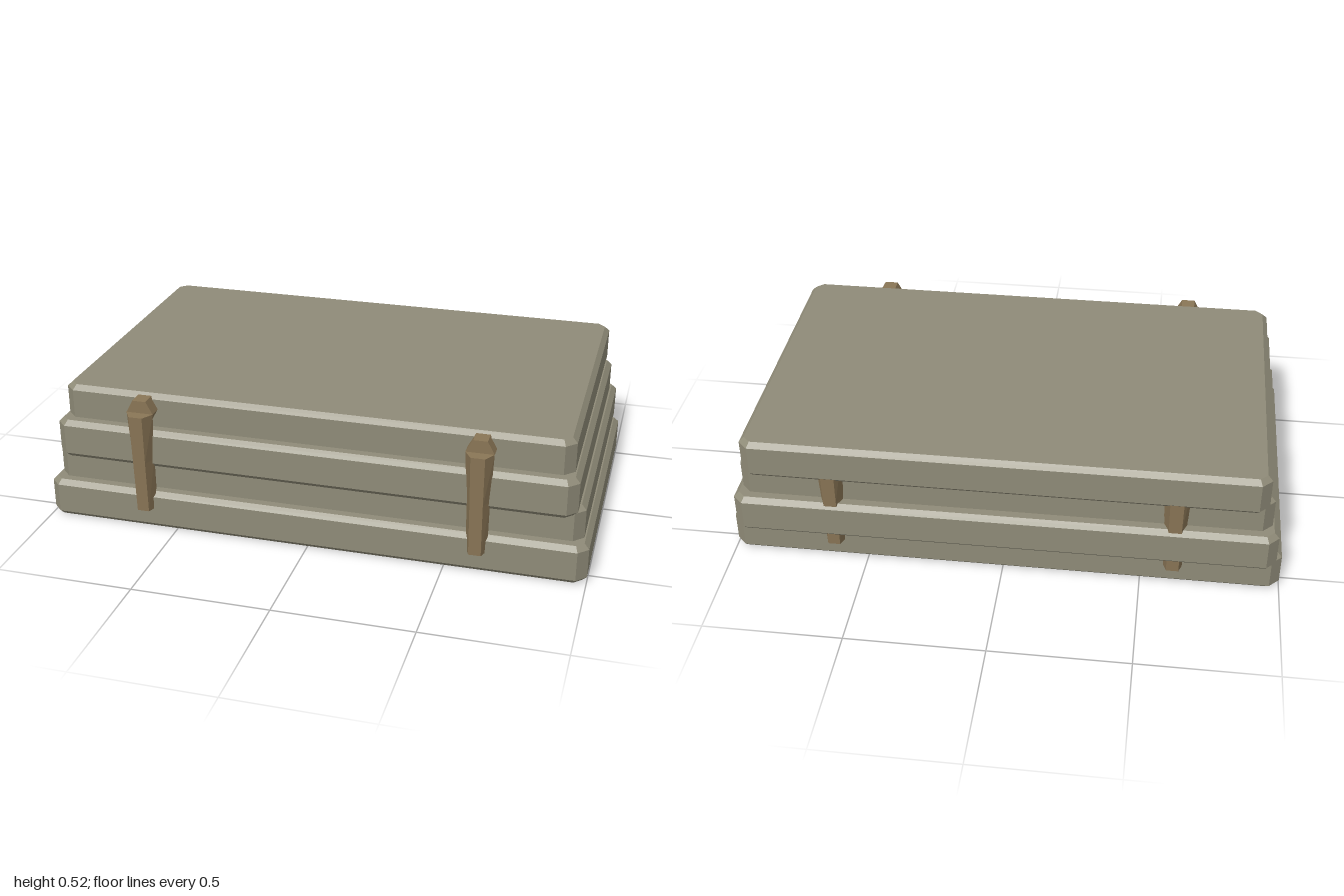
import * as THREE from 'three';

const slabMat = new THREE.MeshStandardMaterial({ color: 0x8f8b78, flatShading: true });
const strapMat = new THREE.MeshStandardMaterial({ color: 0x8a7656, flatShading: true });

// Closed solid through rings of points, counterclockwise seen from the last ring's end
function loft(rings) {
  const n = rings[0].length;
  const index = [];
  for (let r = 0; r < rings.length - 1; r++) {
    for (let i = 0; i < n; i++) {
      const j = (i + 1) % n;
      const a = r * n + i, b = r * n + j, c = b + n, d = a + n;
      index.push(a, b, c, a, c, d);
    }
  }
  const last = (rings.length - 1) * n;
  for (let i = 1; i < n - 1; i++) {
    index.push(0, i + 1, i, last, last + i, last + i + 1);
  }
  const geo = new THREE.BufferGeometry();
  geo.setAttribute('position', new THREE.Float32BufferAttribute(rings.flat(2), 3));
  geo.setIndex(index);
  const flat = geo.toNonIndexed();
  flat.computeVertexNormals();
  return flat;
}

function part(name, geo, mat) {
  const mesh = new THREE.Mesh(geo, mat);
  mesh.name = name;
  return mesh;
}

// Rectangle with cut corners at height y
function octagon(hx, hz, cut, y) {
  return [
    [hx, y, hz - cut], [hx, y, -hz + cut], [hx - cut, y, -hz], [-hx + cut, y, -hz],
    [-hx, y, -hz + cut], [-hx, y, hz - cut], [-hx + cut, y, hz], [hx - cut, y, hz],
  ];
}

// Slab with bevelled top and bottom edges
function slabGeometry(hx, hz, h) {
  const b = 0.018, cut = 0.036;
  return loft([
    octagon(hx - b, hz - b, cut - 0.01, 0),
    octagon(hx, hz, cut, b),
    octagon(hx, hz, cut, h - b),
    octagon(hx - b, hz - b, cut - 0.01, h),
  ]);
}

// Six-sided section of an upright strap
function strapRing(y, wide, narrow, inner, mid, outer) {
  return [
    [wide, y, mid], [narrow, y, inner], [-narrow, y, inner],
    [-wide, y, mid], [-narrow, y, outer], [narrow, y, outer],
  ];
}

function createStrap() {
  const strap = new THREE.Group();
  strap.name = 'strap';

  // Uprights, front and back, tapering downwards
  const upright = loft([
    strapRing(0.08, 0.037, 0.022, 0.52, 0.562, 0.603),
    strapRing(0.28, 0.041, 0.023, 0.525, 0.571, 0.612),
    strapRing(0.462, 0.05, 0.025, 0.53, 0.578, 0.62),
  ]);
  const front = part('strapFront', upright, strapMat);
  const back = part('strapBack', upright, strapMat);
  back.rotation.y = Math.PI;

  // Crossbar running through the top slab
  const barRing = (s) => [
    [0.05, 0.462, 0.578 * s], [0.025, 0.508, 0.578 * s], [-0.025, 0.508, 0.578 * s],
    [-0.05, 0.462, 0.578 * s], [-0.025, 0.418, 0.53 * s], [0.025, 0.418, 0.53 * s],
  ];
  strap.add(front, back, part('strapCrossbar', loft([barRing(-1), barRing(1)]), strapMat));
  return strap;
}

export function createModel() {
  const model = new THREE.Group();
  model.name = 'strappedSlabStack';

  // Four slabs, each narrower than the one below and shifted alternately
  [1, 0.977, 0.953, 0.93].forEach((hx, i) => {
    const slab = part(`slab${i + 1}`, slabGeometry(hx, 0.575, 0.145), slabMat);
    slab.position.set(0, i * 0.124, i % 2 ? -0.045 : 0.003);
    model.add(slab);
  });

  // Pair of straps
  for (const x of [-0.615, 0.615]) {
    const strap = createStrap();
    strap.name = x > 0 ? 'leftStrap' : 'rightStrap';
    strap.position.x = x;
    model.add(strap);
  }
  return model;
}
